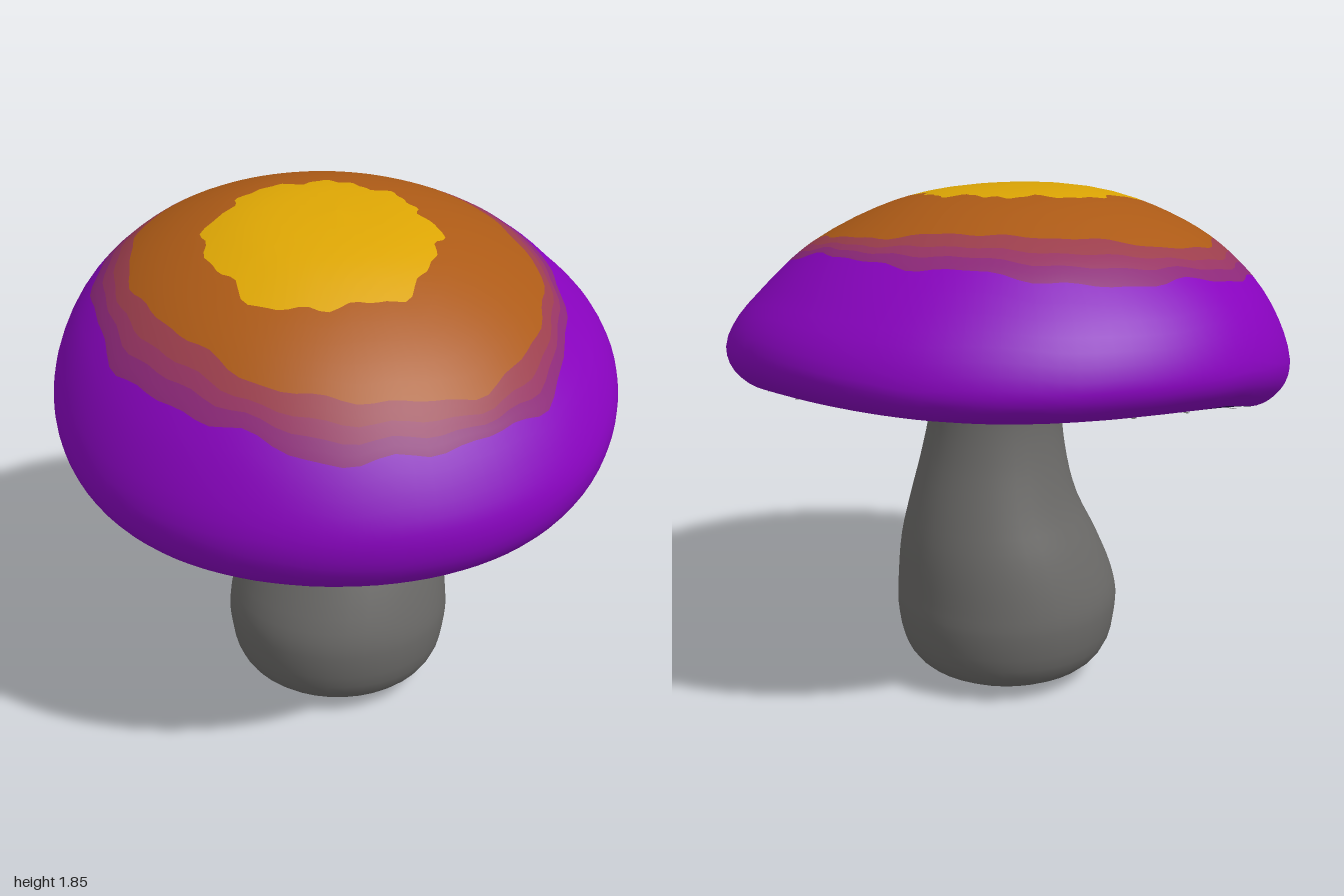
import * as THREE from 'three';

const flat = (name, color) => {
  const m = new THREE.MeshStandardMaterial({ color });
  m.name = name;
  return m;
};

// Skewed lean of the cap: rises toward +x/-z, levels off at the rim
const lean = (x, z) => Math.sin(1.7 * (x - z) * Math.SQRT1_2);

// Smooth surface through closed rings; bands lists [first row, row count, material index]
function loft(rows, seg, point, bands) {
  const pos = [], index = [];
  for (let i = 0; i <= rows; i++)
    for (let j = 0; j < seg; j++) pos.push(...point(i, (j / seg) * Math.PI * 2));
  for (let i = 0; i < rows; i++)
    for (let j = 0; j < seg; j++) {
      const k = (j + 1) % seg;
      const a = i * seg + j, b = a + seg, c = i * seg + k, d = c + seg;
      index.push(a, c, b, c, d, b);
    }
  const g = new THREE.BufferGeometry();
  g.setAttribute('position', new THREE.Float32BufferAttribute(pos, 3));
  g.setIndex(index);
  g.computeVertexNormals();
  for (const [start, count, mat] of bands) g.addGroup(start * seg * 6, count * seg * 6, mat);
  return g;
}

// Cap profile: radius, height, amount of lean
const capProfile = new THREE.CatmullRomCurve3([
  [0, 1.84, 0.05], [0.25, 1.825, 0.05], [0.45, 1.775, 0.055], [0.7, 1.647, 0.07],
  [0.87, 1.487, 0.09], [0.96, 1.355, 0.125], [1, 1.235, 0.15], [0.985, 1.15, 0.17],
  [0.93, 1.085, 0.185], [0.87, 1.06, 0.19], [0.8, 1.07, 0.19], [0.5, 1.12, 0.17],
  [0.27, 1.15, 0.13], [0.2, 1.2, 0.1],
].map(p => new THREE.Vector3(...p)));
const RIM = 6 / 13;

function capPoint(t, a) {
  const p = capProfile.getPoint(t);
  const x = p.x * Math.cos(a), z = p.x * Math.sin(a);
  // The dome slumps a little further toward the front
  const slump = THREE.MathUtils.clamp((p.y - 1.24) / 0.25, 0, 1) * (0.045 * z + 0.015 * x);
  return [x, p.y + p.z * lean(x, z) - slump, z];
}

// Profile parameter at which the curve between lo and hi reaches radius r
function atRadius(r, lo, hi) {
  const rising = capProfile.getPoint(hi).x > capProfile.getPoint(lo).x;
  for (let i = 0; i < 24; i++) {
    const mid = (lo + hi) / 2;
    if ((capProfile.getPoint(mid).x < r) === rising) lo = mid; else hi = mid;
  }
  return lo;
}

// Radius of an off-centre patch in direction a
function patch(a, cx, cz, rho) {
  const u = cx * Math.cos(a) + cz * Math.sin(a);
  return u + Math.sqrt(rho * rho - cx * cx - cz * cz + u * u);
}
const ripple = (a, s) =>
  0.012 * Math.sin(7 * a + s) + 0.009 * Math.sin(13 * a + 2 * s) + 0.006 * Math.sin(23 * a + 3 * s);
const bump = (a, centre) => Math.max(0, Math.cos(a - centre)) ** 6;

function createCap(mats) {
  const onTop = r => atRadius(r, 0, RIM);
  const orangeEdge = a => patch(a, -0.055, 0.065, 0.695 - 0.03 * Math.cos(2 * a))
    + 0.05 * bump(a, -2.1) - 0.05 * bump(a, -0.9) + ripple(a, 2) * 0.7;
  const outerEdge = a => patch(a, -0.075, 0.03, 0.82 - 0.035 * Math.cos(2 * a)) + ripple(a, 4) * 0.8;
  const between = f => a => onTop(THREE.MathUtils.lerp(orangeEdge(a), outerEdge(a), f));
  // Colour borders from the crown, over the rim, to the stem
  const borders = [
    () => 0,
    a => onTop(patch(a, -0.125, 0.06, 0.395) + ripple(a, 1) * 1.3),
    between(0), between(0.4), between(0.68), between(1),
    a => (8.7 + 13 * ripple(a, 5)) / 13,
    () => 1,
  ];
  const counts = [5, 5, 2, 2, 2, 14, 12];
  const steps = [], bands = [];
  counts.forEach((n, b) => {
    bands.push([steps.length, n, b]);
    for (let i = 0; i < n; i++) steps.push([b, i / n]);
  });
  steps.push([counts.length - 1, 1]);
  const geo = loft(steps.length - 1, 100, (i, a) => {
    const [b, f] = steps[i];
    return capPoint(THREE.MathUtils.lerp(borders[b](a), borders[b + 1](a), f), a);
  }, bands);
  const cap = new THREE.Mesh(geo, mats);
  cap.name = 'cap';
  return cap;
}

function createStem(mat) {
  // Stem profile: radius, height, sideways bend
  const profile = new THREE.CatmullRomCurve3([
    [0, 0, 0], [0.29, 0.045, 0], [0.37, 0.12, 0], [0.405, 0.27, 0], [0.4, 0.37, 0.004],
    [0.36, 0.54, 0.035], [0.305, 0.7, 0.06], [0.262, 0.87, 0.06], [0.24, 1.02, 0.05],
    [0.25, 1.1, 0.04], [0.29, 1.19, 0.04],
  ].map(p => new THREE.Vector3(...p)));
  const rows = 32;
  // Rows run from the top down so the faces look outward
  const geo = loft(rows, 36, (i, a) => {
    const p = profile.getPoint(1 - i / rows);
    const x = p.x * Math.cos(a), z = p.x * Math.sin(a);
    const tilt = 0.13 * Math.max(0, (p.y - 0.9) / 0.25) * lean(x, z);
    return [x + p.z, p.y + tilt, z + 0.01];
  }, []);
  const stem = new THREE.Mesh(geo, mat);
  stem.name = 'stem';
  return stem;
}

// Thin gill strips on the underside: angle in degrees, inner and outer radius
function createGills(mat) {
  const group = new THREE.Group();
  group.name = 'gills';
  const list = [
    [4, 0.44, 0.88], [30, 0.45, 0.87], [334, 0.37, 0.6], [300, 0.5, 0.7], [280, 0.52, 0.86],
    [265, 0.53, 0.87], [244, 0.76, 0.87], [193, 0.38, 0.87], [212, 0.61, 0.79], [98, 0.45, 0.82],
    [183, 0.5, 0.6],
  ];
  for (const [deg, r0, r1] of list) {
    const a = THREE.MathUtils.degToRad(deg), n = 8;
    const geo = new THREE.PlaneGeometry(1, 1, n, 1);
    const pos = geo.attributes.position;
    for (let i = 0; i < pos.count; i++) {
      const f = pos.getX(i) + 0.5;
      const p = capPoint(atRadius(r0 + (r1 - r0) * f, 9.1 / 13, 1), a);
      const w = pos.getY(i) * 0.03 * (0.6 + Math.sin(Math.PI * f) * 0.4);
      // Follow the slope of the underside across the strip
      const x = p[0] - Math.sin(a) * w, z = p[2] + Math.cos(a) * w;
      pos.setXYZ(i, x, p[1] + 0.18 * (lean(x, z) - lean(p[0], p[2])) - 0.008, z);
    }
    // Corner order makes the strips face down
    geo.index.array.reverse();
    geo.computeVertexNormals();
    if (geo.attributes.normal.getY(0) > 0) {
      geo.index.array.reverse();
      geo.computeVertexNormals();
    }
    const gill = new THREE.Mesh(geo, mat);
    gill.name = 'gill';
    group.add(gill);
  }
  return group;
}

export function createModel() {
  const capColours = [
    flat('crownYellow', 0xdca504), flat('capOrange', 0xac5a16), flat('capMauve', 0x9b3e4c),
    flat('capRose', 0x963462), flat('capPlum', 0x8c2878), flat('capPurple', 0x8803be),
    flat('undersideViolet', 0x2c0558),
  ];
  const gillGrey = flat('gillGrey', 0x6a6c68);
  gillGrey.side = THREE.DoubleSide;
  const model = new THREE.Group();
  model.name = 'mushroom';
  model.add(createCap(capColours), createStem(flat('stemGrey', 0x6b6a68)), createGills(gillGrey));
  return model;
}
